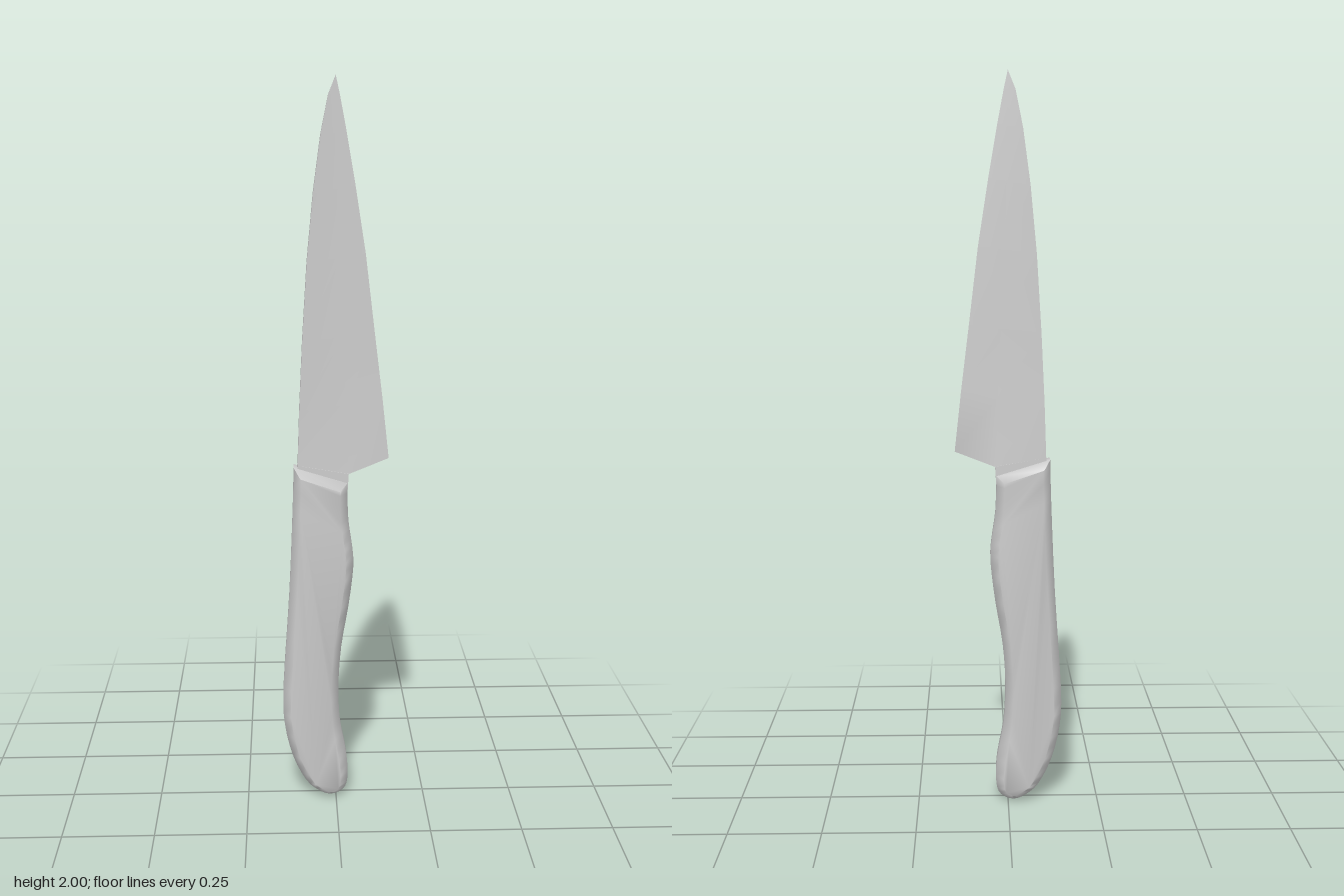
import * as THREE from 'three';
import { toCreasedNormals } from 'three/addons/utils/BufferGeometryUtils.js';

const material = new THREE.MeshStandardMaterial({ color: 0xcccccc });

function addMesh(group, name, geometry) {
  const mesh = new THREE.Mesh(geometry, material);
  mesh.name = name;
  group.add(mesh);
}

// Contoured grip: a curved outline with one wide chamfer all round
function handleGeometry() {
  const outline = [
    [-0.115, 0.965], [-0.118, 0.85], [-0.129, 0.6], [-0.147, 0.33], [-0.145, 0.22],
    [-0.122, 0.12], [-0.085, 0.045], [-0.05, 0.013], [-0.015, 0], [0.02, 0.015],
    [0.033, 0.05], [0.03, 0.12], [0.012, 0.22], [0.007, 0.33], [0.015, 0.45],
    [0.035, 0.57], [0.048, 0.68], [0.045, 0.74], [0.034, 0.82], [0.031, 0.92],
  ].map(([x, y]) => new THREE.Vector2(x, y));
  const shape = new THREE.Shape(new THREE.SplineCurve(outline).getPoints(57));
  const geometry = new THREE.ExtrudeGeometry(shape, {
    depth: 0.044, bevelThickness: 0.034, bevelSize: 0.021, bevelOffset: -0.021, bevelSegments: 1,
  });
  geometry.translate(0, 0, -0.022);
  return toCreasedNormals(geometry, 1.1);
}

// Wedge-shaped blade lofted from base to tip
function bladeGeometry() {
  // spine x, spine y, edge x, edge y, half thickness of the spine
  const rows = [
    [-0.105, 0.94, 0.145, 0.985, 0.02],
    [-0.099, 1.12, 0.127, 1.15, 0.02],
    [-0.09, 1.31, 0.105, 1.33, 0.02],
    [-0.077, 1.52, 0.08, 1.54, 0.02],
    [-0.06, 1.7, 0.052, 1.72, 0.02],
    [-0.04, 1.85, 0.028, 1.86, 0.016],
    [-0.02, 1.95, 0.011, 1.95, 0.009],
    [0, 2, 0, 2, 0],
  ];
  const mid = 0.56;
  const positions = [];
  const indices = [];
  rows.forEach(([sx, sy, ex, ey, h], i) => {
    const mx = sx + (ex - sx) * mid;
    // the base is still as thick as the tang where it meets the heel
    const my = i === 0 ? 0.945 : sy + (ey - sy) * mid;
    const mh = i === 0 ? 0.017 : h * (1 - mid);
    positions.push(sx, sy, h, mx, my, mh, ex, ey, 0, mx, my, -mh, sx, sy, -h);
  });
  for (let i = 0; i < rows.length - 1; i++) {
    for (let j = 0; j < 5; j++) {
      const a = i * 5 + j, b = i * 5 + (j + 1) % 5;
      indices.push(a, b, b + 5, a, b + 5, a + 5);
    }
  }
  for (let j = 1; j < 4; j++) indices.push(0, j + 1, j);
  const geometry = new THREE.BufferGeometry();
  geometry.setAttribute('position', new THREE.Float32BufferAttribute(positions, 3));
  geometry.setIndex(indices);
  return toCreasedNormals(geometry, 0.5);
}

// Tang: short plate joining the blade to the grip
function tangGeometry() {
  const shape = new THREE.Shape([
    [-0.105, 0.9], [0.031, 0.88], [0.035, 0.946], [-0.105, 0.97],
  ].map(([x, y]) => new THREE.Vector2(x, y)));
  const geometry = new THREE.ExtrudeGeometry(shape, { depth: 0.04, bevelEnabled: false });
  geometry.translate(0, 0, -0.02);
  return geometry;
}

export function createModel() {
  const knife = new THREE.Group();
  knife.name = 'knife';
  addMesh(knife, 'handle', handleGeometry());
  addMesh(knife, 'blade', bladeGeometry());
  addMesh(knife, 'tang', tangGeometry());
  knife.position.z = -0.002;
  return knife;
}
